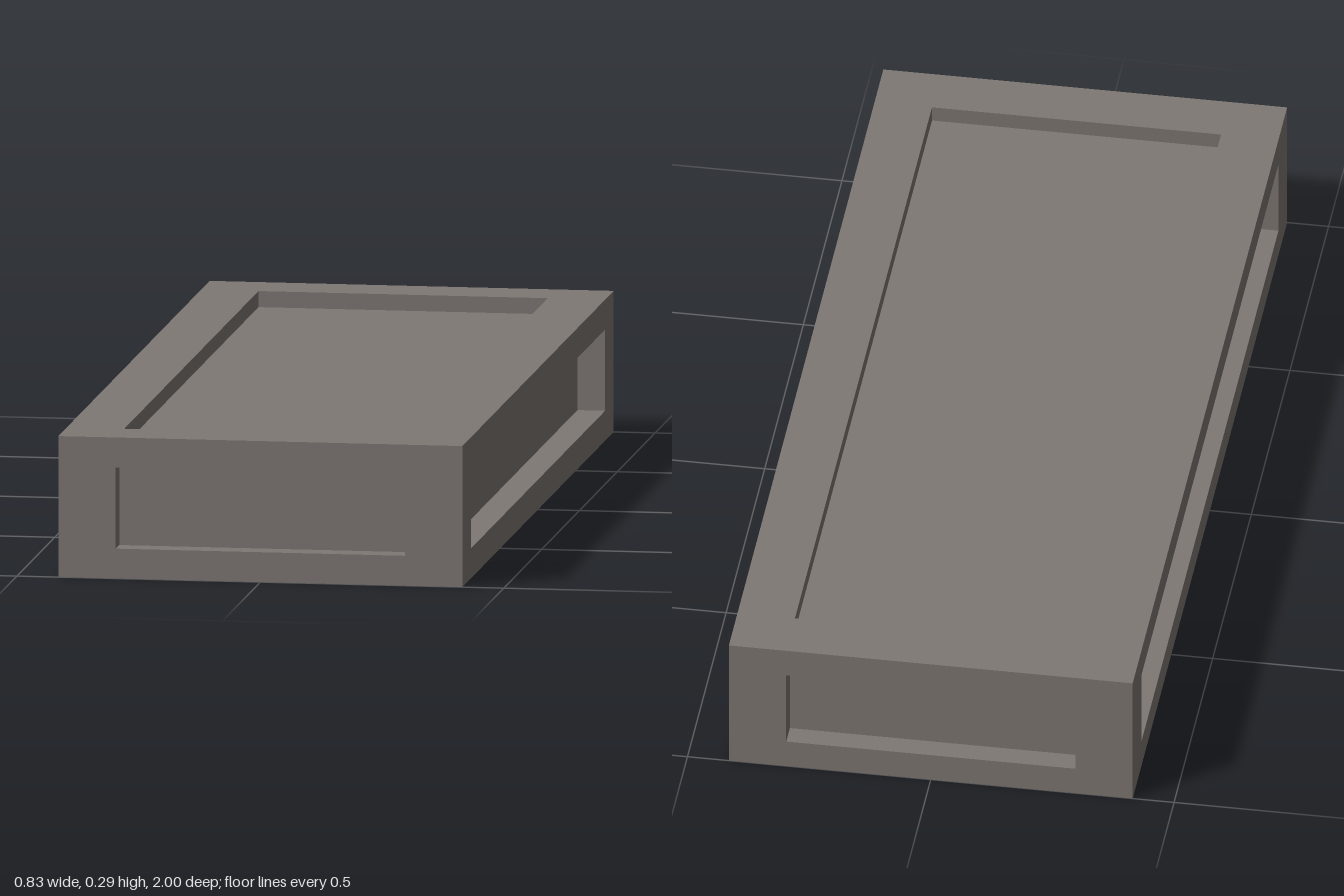
import * as THREE from 'three';
import { mergeGeometries } from 'three/addons/utils/BufferGeometryUtils.js';

const W = 0.83, H = 0.29, L = 2; // overall size
const IW = 0.594, IH = 0.167, IL = 1.774; // recess openings

function rectangle(path, w, h) {
  path.moveTo(-w / 2, -h / 2);
  path.lineTo(w / 2, -h / 2);
  path.lineTo(w / 2, h / 2);
  path.lineTo(-w / 2, h / 2);
  path.closePath();
  return path;
}

// One side of the block, facing +z: flat border, four recess walls and a sunken floor
function recessedFace(w, h, iw, ih, depth) {
  const border = rectangle(new THREE.Shape(), w, h);
  border.holes.push(rectangle(new THREE.Path(), iw, ih));
  const parts = [
    new THREE.ShapeGeometry(border),
    new THREE.PlaneGeometry(iw, ih).translate(0, 0, -depth),
  ];
  for (const s of [-1, 1]) {
    parts.push(
      new THREE.PlaneGeometry(iw, depth).rotateX(s * Math.PI / 2).translate(0, s * ih / 2, -depth / 2),
      new THREE.PlaneGeometry(depth, ih).rotateY(-s * Math.PI / 2).translate(s * iw / 2, 0, -depth / 2),
    );
  }
  return mergeGeometries(parts);
}

export function createModel() {
  const model = new THREE.Group();
  model.name = 'recessedBlock';
  const material = new THREE.MeshStandardMaterial({ color: 0x7f7874, flatShading: true });

  const add = (name, geometry, distance, rx, ry) => {
    const mesh = new THREE.Mesh(geometry.clone().translate(0, 0, distance), material);
    mesh.name = name;
    mesh.rotation.set(rx, ry, 0);
    mesh.position.y = H / 2;
    model.add(mesh);
  };

  // Short ends
  const end = recessedFace(W, H, IW, IH, 0.047);
  add('frontFace', end, L / 2, 0, 0);
  add('backFace', end, L / 2, 0, Math.PI);

  // Long sides
  const side = recessedFace(L, H, IL, IH, 0.057);
  add('leftFace', side, W / 2, 0, Math.PI / 2);
  add('rightFace', side, W / 2, 0, -Math.PI / 2);

  // Broad top and bottom
  const broad = recessedFace(W, L, IW, IL, 0.033);
  add('topFace', broad, H / 2, -Math.PI / 2, 0);
  add('bottomFace', broad, H / 2, Math.PI / 2, 0);

  return model;
}
